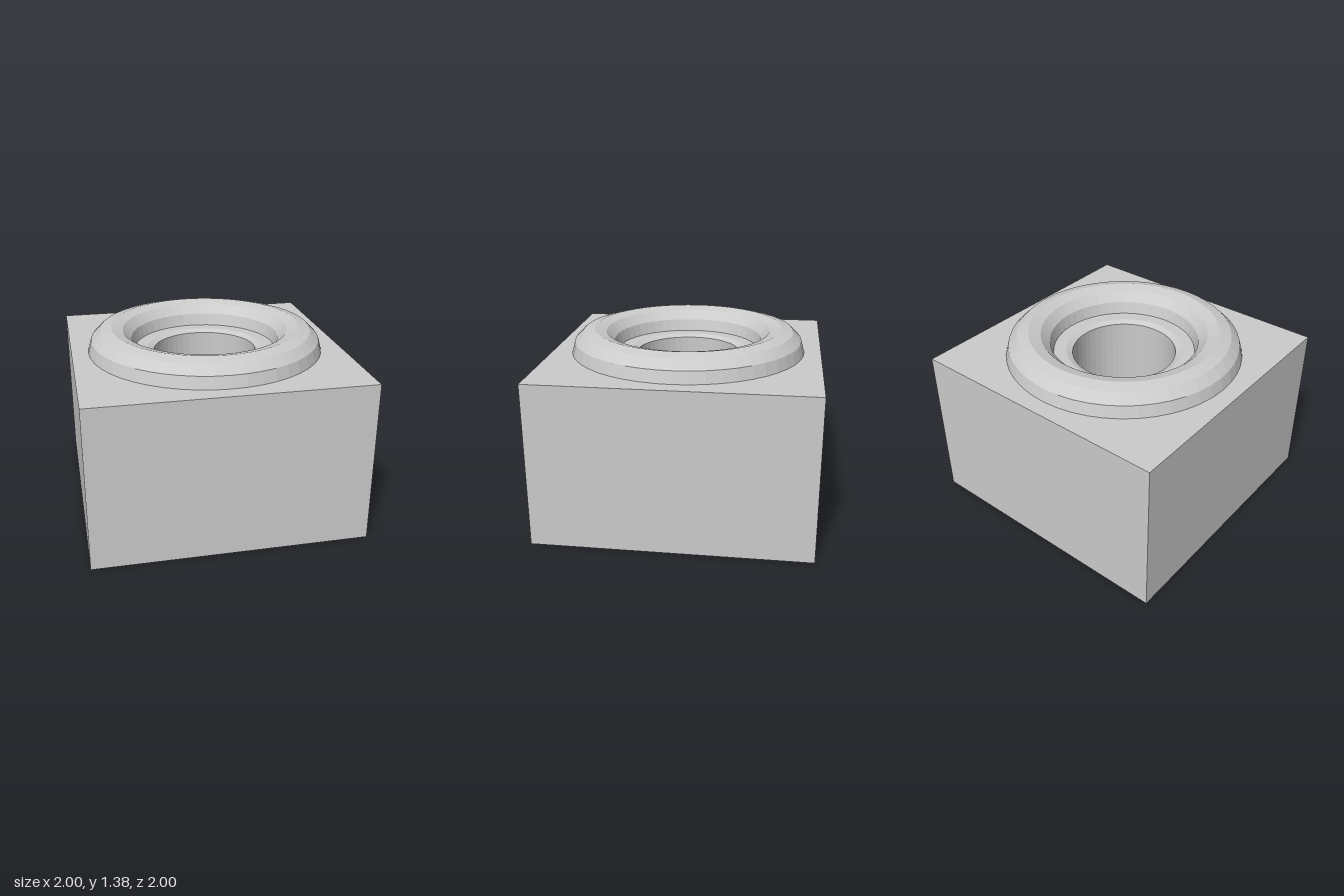
import * as THREE from 'three';

const SEGMENTS = 48;

export function createModel() {
  const group = new THREE.Group();
  const material = new THREE.MeshStandardMaterial({ color: 0xcccccc, flatShading: true });

  const add = (name, geometry, y = 0) => {
    const mesh = new THREE.Mesh(geometry, material);
    mesh.name = name;
    mesh.position.y = y;
    group.add(mesh);
    return mesh;
  };
  const lathe = (points) =>
    new THREE.LatheGeometry(points.map(([r, y]) => new THREE.Vector2(r, y)), SEGMENTS);

  // Solid bottom of the block
  add('blockBase', new THREE.BoxGeometry(2, 0.1, 2), 0.05);

  // Block body with a round opening for the well
  const square = new THREE.Shape();
  square.moveTo(-1, -1);
  square.lineTo(1, -1);
  square.lineTo(1, 1);
  square.lineTo(-1, 1);
  square.closePath();
  const opening = new THREE.Path();
  opening.absarc(0, 0, 0.43, 0, Math.PI * 2, true);
  square.holes.push(opening);
  const body = new THREE.ExtrudeGeometry(square, {
    depth: 1.1, bevelEnabled: false, curveSegments: SEGMENTS / 2,
  });
  body.rotateX(-Math.PI / 2);
  add('blockBody', body, 0.1);

  // Raised rim: upper half of a twelve-sided ring, outer edge to inner edge
  const rim = [];
  for (let i = 0; i <= 6; i++) {
    const a = (i * Math.PI) / 6;
    rim.push([0.7 + 0.175 * Math.cos(a), 0.175 * Math.sin(a)]);
  }
  add('raisedRim', lathe(rim), 1.2);

  // Bevelled lip, straight wall and shallow dished floor of the well
  add('wellLip', lathe([[0.43, 1.2], [0.385, 1.18]]));
  add('wellWall', lathe([[0.385, 1.18], [0.385, 0.6]]));
  add('wellFloor', lathe([[0.385, 0.6], [0.2, 0.54], [0, 0.53]]));

  return group;
}
